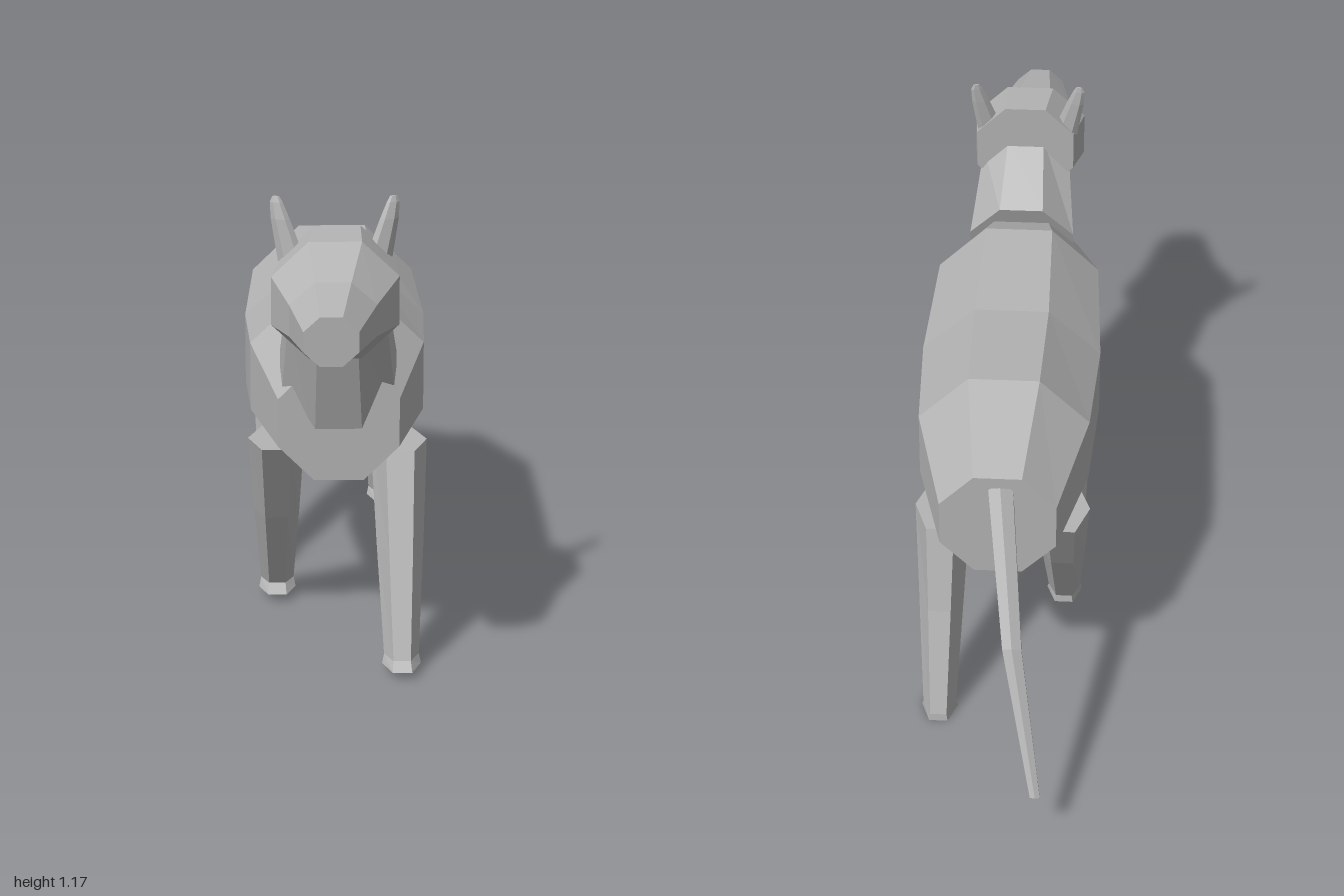
import * as THREE from 'three';

// Faceted tube through cross-sections; each ring is { c: centre, u, v: half-extent vectors }.
// Rings run along u x v, and both ends are capped.
function loft(rings, sides) {
  const pos = [], index = [], k = 1 / Math.cos(Math.PI / sides);
  for (const { c, u, v } of rings) {
    for (let i = 0; i < sides; i++) {
      const a = ((i + 0.5) / sides) * Math.PI * 2;
      const cs = Math.cos(a) * k, sn = Math.sin(a) * k;
      for (let d = 0; d < 3; d++) pos.push(c[d] + u[d] * cs + v[d] * sn);
    }
  }
  for (let r = 0; r < rings.length - 1; r++) {
    for (let i = 0; i < sides; i++) {
      const j = (i + 1) % sides, a = r * sides, b = a + sides;
      index.push(a + i, a + j, b + i, a + j, b + j, b + i);
    }
  }
  const last = (rings.length - 1) * sides;
  for (let i = 1; i < sides - 1; i++) {
    index.push(0, i + 1, i, last, last + i, last + i + 1);
  }
  const g = new THREE.BufferGeometry();
  g.setAttribute('position', new THREE.Float32BufferAttribute(pos, 3));
  g.setIndex(index);
  const flat = g.toNonIndexed();
  flat.computeVertexNormals();
  return flat;
}

export function createModel() {
  const group = new THREE.Group();
  const grey = new THREE.MeshStandardMaterial({ color: 0xb4b4b4 });
  grey.name = 'grey';
  const add = (name, rings, sides) => {
    const mesh = new THREE.Mesh(loft(rings, sides), grey);
    mesh.name = name;
    group.add(mesh);
  };
  // Upright section facing z
  const section = ([x, y, z, rx, ry]) => ({ c: [x, y, z], u: [rx, 0, 0], v: [0, ry, 0] });

  // Octagonal trunk, rump to chest: x, y, z, half width, half height
  add('body', [
    [0, 0.615, -0.55, 0.143, 0.145],
    [0, 0.655, -0.29, 0.213, 0.208],
    [0, 0.625, 0.04, 0.23, 0.215],
    [0, 0.658, 0.38, 0.213, 0.207],
    [0, 0.615, 0.61, 0.145, 0.145],
  ].map(section), 8);

  // Neck, slanting up from the shoulders into the head
  add('neck', [
    { c: [0, 0.7, 0.535], u: [0.14, 0, 0], v: [0, 0.16, -0.055] },
    { c: [-0.005, 0.92, 0.655], u: [0.115, 0, 0], v: [0, 0.08, -0.035] },
  ], 8);

  // Head and muzzle, turned slightly to one side
  add('head', [
    [-0.004, 0.975, 0.605, 0.13, 0.125],
    [-0.011, 0.955, 0.73, 0.148, 0.14],
    [-0.018, 0.94, 0.84, 0.1, 0.09],
    [-0.025, 0.939, 1.0, 0.062, 0.057],
  ].map(section), 8);

  // Flattened ears: offset, y, z, half width, half thickness
  const ear = [
    [0.1, 1.02, 0.628, 0.033, 0.014],
    [0.127, 1.12, 0.614, 0.022, 0.01],
    [0.136, 1.158, 0.608, 0.015, 0.006],
    [0.137, 1.172, 0.606, 0.008, 0.003],
  ];
  for (const side of [-1, 1]) {
    add(side > 0 ? 'leftEar' : 'rightEar', ear.map(([x, y, z, w, t]) => ({
      c: [side * x - 0.01, y, z],
      u: [0, 0, t],
      v: [w * 0.87, 0, side * -w * 0.2],
    })), 6);
  }

  // Hexagonal legs in mid-stride; each ring: y, z, half depth, half width, x
  const legs = {
    leftFrontLeg: [1, [0.51, 0.43, 0.09], [0.28, 0.545, 0.068], [0.04, 0.665, 0.046], [0.02, 0.675, 0.06]],
    rightFrontLeg: [-1, [0.51, 0.415, 0.09], [0.28, 0.3, 0.066], [0.04, 0.17, 0.044], [0.02, 0.188, 0.058]],
    leftHindLeg: [1, [0.51, -0.35, 0.098], [0.29, -0.435, 0.072], [0.02, -0.55, 0.048], [0, -0.538, 0.062]],
    rightHindLeg: [-1, [0.51, -0.345, 0.095], [0.3, -0.25, 0.064], [0.04, -0.097, 0.046], [0.02, -0.083, 0.062]],
  };
  const halfWidths = [0.069, 0.057, 0.042, 0.047];
  for (const [name, [side, ...rings]] of Object.entries(legs)) {
    add(name, rings.map(([y, z, depth], i) => ({
      c: [side * 0.151, y, z],
      u: [0, 0, depth],
      v: [-halfWidths[i] * 0.87, 0, 0],
    })), 6);
  }

  // Drooping tail, swept to one side: x, y, z, radius
  add('tail', [
    [-0.007, 0.715, -0.535, 0.03],
    [-0.05, 0.445, -0.81, 0.023],
    [-0.116, 0.133, -0.992, 0.012],
  ].map(([x, y, z, r]) => ({ c: [x, y, z], u: [-r, 0, 0], v: [0, r * 0.7, -r * 0.7] })), 6);

  return group;
}
